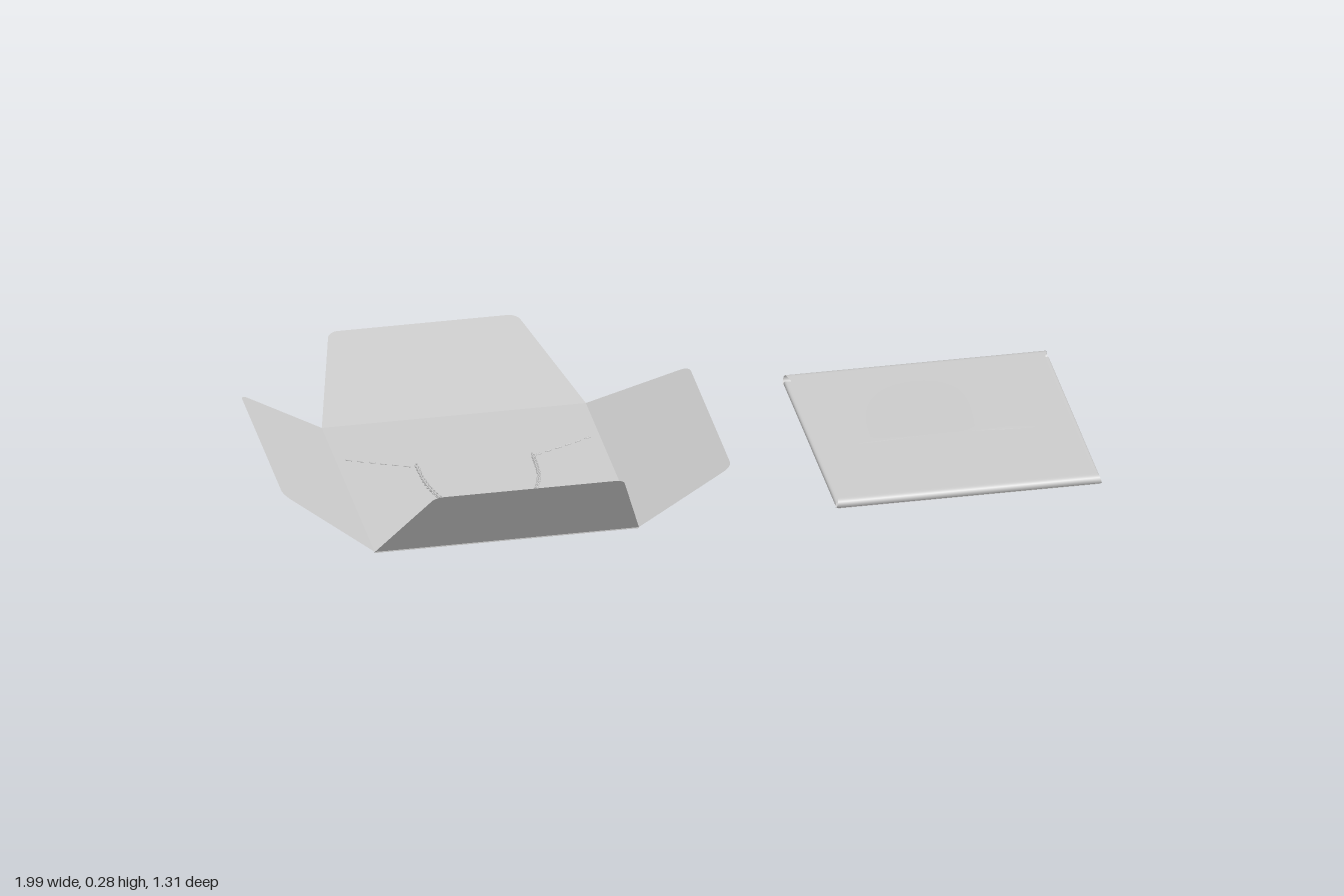
import * as THREE from 'three';
import { mergeGeometries } from 'three/addons/utils/BufferGeometryUtils.js';

const paper = new THREE.MeshStandardMaterial({ color: 0xcccccc, side: THREE.DoubleSide });
const metal = new THREE.MeshStandardMaterial({ color: 0xcccccc });
const HALF = 0.323; // half width of the square panel
const SHEET = 0.003;

// Tapered sheet with rounded tip corners, swept along a (u outward, y up) path
function flapGeometry(path, w0, w1, lift = 0) {
  const L = path.getLength(), r = 0.022, cols = 16;
  const stations = [];
  for (let i = 0; i <= 60; i++) stations.push(((L - r) * i) / 60);
  for (let i = 1; i <= 6; i++) stations.push(L - r + r * Math.sin((i / 6) * Math.PI / 2));
  const pos = [], idx = [];
  stations.forEach((s, row) => {
    const t = Math.min(s / L, 1), p = path.getPointAt(t);
    const c = Math.max(0, s - (L - r));
    const w = w0 + (w1 - w0) * t - (r - Math.sqrt(Math.max(0, r * r - c * c)));
    for (let j = 0; j <= cols; j++) {
      const x = w * ((2 * j) / cols - 1);
      const bulge = lift * t * t * Math.cos((x / w) * Math.PI / 2) ** 2;
      pos.push(x, p.y + bulge, p.x);
      if (row && j) {
        const a = (row - 1) * (cols + 1) + j - 1, b = a + cols + 1;
        idx.push(a, b, a + 1, a + 1, b, b + 1);
      }
    }
  });
  const g = new THREE.BufferGeometry();
  g.setAttribute('position', new THREE.Float32BufferAttribute(pos, 3));
  g.setIndex(idx);
  g.computeVertexNormals();
  return g;
}

// Places a flap on one edge of the panel; turn is in quarter turns from +z
function addFlap(parent, name, turn, edge, path, w0, w1, lift) {
  const g = flapGeometry(path, w0, w1, lift);
  g.translate(0, 0, edge);
  const mesh = new THREE.Mesh(g, paper);
  mesh.rotation.y = turn * Math.PI / 2;
  mesh.name = name;
  parent.add(mesh);
}

function straight(du, dy) {
  return new THREE.Path().moveTo(0, SHEET).lineTo(du, SHEET + dy);
}

// Rolls over the edge and runs back across the panel
function folded(radius, reach, endY) {
  const p = new THREE.Path();
  p.moveTo(0, SHEET);
  p.absarc(0, SHEET + radius, radius, -Math.PI / 2, Math.PI / 2, false);
  p.lineTo(-reach, endY);
  return p;
}

function addPanel(parent, half) {
  const panel = new THREE.Mesh(new THREE.BoxGeometry(half * 2, SHEET, half * 2), paper);
  panel.position.y = SHEET / 2;
  panel.name = 'basePanel';
  parent.add(panel);
}

// Hanging chain of interlocking links
function chainMesh() {
  const curve = new THREE.CatmullRomCurve3([
    [-0.14, -0.08], [-0.133, 0.03], [-0.1, 0.125], [-0.05, 0.17], [0, 0.183],
    [0.05, 0.17], [0.1, 0.125], [0.137, 0.03], [0.145, -0.08],
  ].map(([x, z]) => new THREE.Vector3(x, 0, z)));
  const links = [], count = 84, forward = new THREE.Vector3(1, 0, 0);
  for (let i = 0; i <= count; i++) {
    const g = new THREE.TorusGeometry(0.0055, 0.0018, 6, 10);
    g.scale(1.15, 0.85, 1);
    g.rotateX(i % 2 ? Math.PI / 4 : -Math.PI / 4);
    const q = new THREE.Quaternion().setFromUnitVectors(forward, curve.getTangentAt(i / count));
    g.applyQuaternion(q);
    const p = curve.getPointAt(i / count);
    g.translate(p.x, p.y, p.z);
    links.push(g);
  }
  const mesh = new THREE.Mesh(mergeGeometries(links), metal);
  mesh.name = 'chain';
  return mesh;
}

// Thin cord at each chain end, showing as separate stitches
function addCords(parent) {
  for (const side of [-1, 1]) {
    const a = new THREE.Vector2(0.148 * side, -0.083);
    const b = new THREE.Vector2(0.305 * side, -0.152);
    const dir = b.clone().sub(a);
    for (let i = 0; i < 6; i++) {
      const stitch = new THREE.Mesh(new THREE.CapsuleGeometry(0.0022, 0.013, 3, 6), metal);
      const p = a.clone().addScaledVector(dir, (i + 0.5) / 6);
      stitch.geometry.rotateZ(Math.PI / 2);
      stitch.position.set(p.x, SHEET + 0.001, p.y);
      stitch.rotation.y = -Math.atan2(dir.y, dir.x);
      stitch.name = 'cordStitch';
      parent.add(stitch);
    }
  }
}

function openWrapper() {
  const g = new THREE.Group();
  g.name = 'openWrapper';
  addPanel(g, HALF);
  addFlap(g, 'frontFlap', 0, HALF, straight(0.278, 0.282), HALF, 0.23);
  addFlap(g, 'leftFlap', 1, HALF, straight(0.24, 0.107), HALF, 0.26);
  addFlap(g, 'backFlap', 2, HALF, straight(0.382, 0.052), HALF, 0.23);
  addFlap(g, 'rightFlap', 3, HALF, straight(0.212, 0.145), HALF, 0.26);
  const chain = chainMesh();
  chain.position.y = 0.008;
  g.add(chain);
  addCords(g);
  g.position.set(-0.464, 0, 0.05);
  return g;
}

function closedWrapper() {
  const g = new THREE.Group();
  g.name = 'closedWrapper';
  const half = 0.319;
  addPanel(g, half);
  for (const [name, turn] of [['leftFlap', 1], ['rightFlap', 3]])
    addFlap(g, name, turn, half, folded(0.006, 0.245, 0.021), half, 0.262);
  addFlap(g, 'frontFlap', 0, half, folded(0.0115, 0.38, 0.028), 0.327, 0.23);
  addFlap(g, 'backFlap', 2, half, folded(0.0125, 0.38, 0.031), 0.327, 0.23, 0.007);
  const chain = chainMesh();
  chain.scale.set(0.5, 0.8, 0.75);
  chain.position.y = 0.009;
  g.add(chain);
  g.position.set(0.666, 0, 0.05);
  return g;
}

export function createModel() {
  const model = new THREE.Group();
  model.name = 'wrapperSet';
  model.add(openWrapper(), closedWrapper());
  return model;
}
